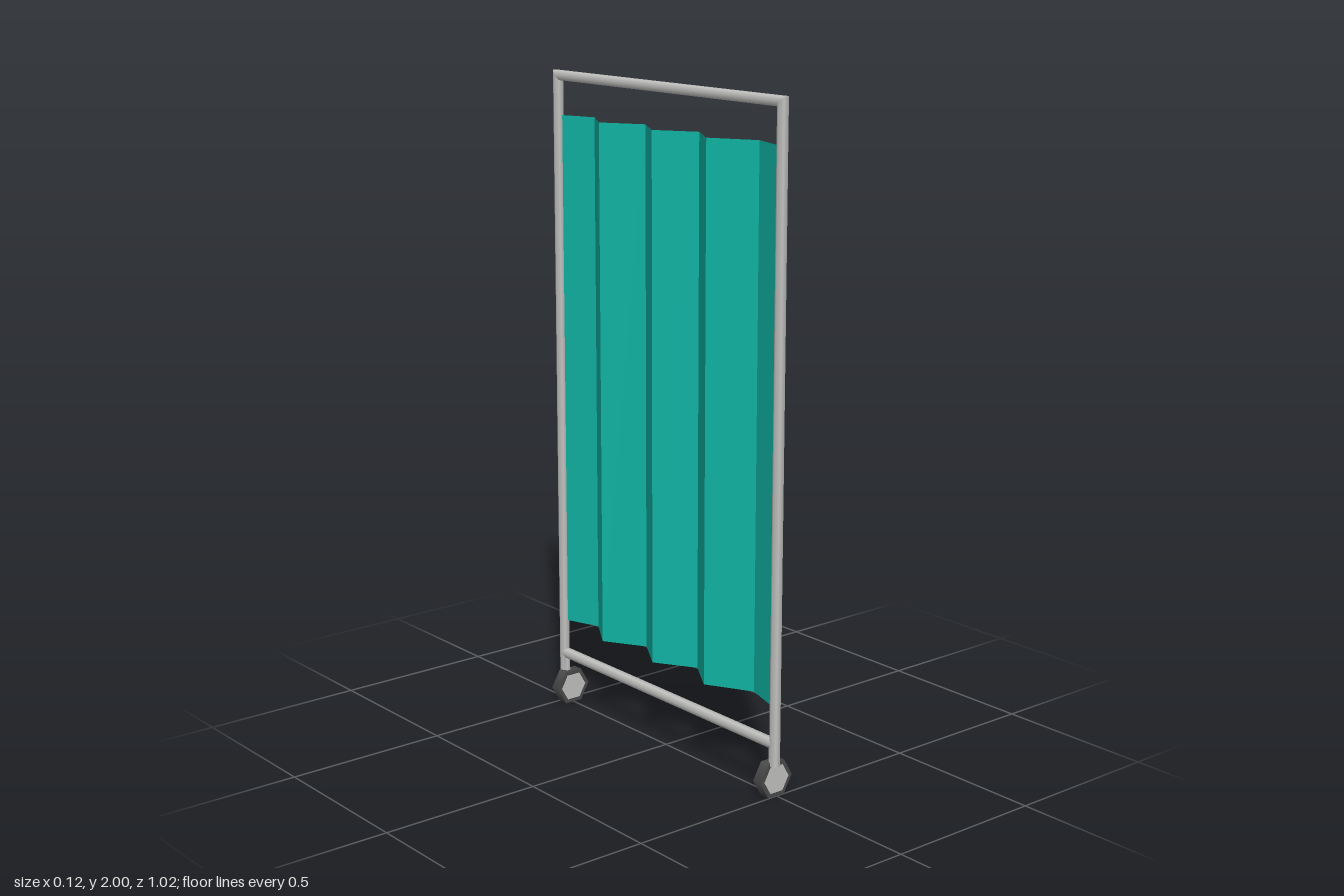
import * as THREE from 'three';

const steel = new THREE.MeshStandardMaterial({ color: 0xc2c2c0 });
steel.name = 'greySteel';
const cloth = new THREE.MeshStandardMaterial({ color: 0x0fb5a5, side: THREE.DoubleSide, flatShading: true });
cloth.name = 'tealCloth';
const rubber = new THREE.MeshStandardMaterial({ color: 0x4a4a4a });
rubber.name = 'darkRubber';

const TUBE_X = -0.008, TUBE_R = 0.0165;
const POST_Z = 0.498, TOP_Y = 1.986, FOOT_Y = 0.095;

function add(group, name, geometry, material) {
  const mesh = new THREE.Mesh(geometry, material);
  mesh.name = name;
  group.add(mesh);
  return mesh;
}

// Six-sided tube along y, with corners pointing to +x and -x
function hexTube(radius, length, open = false) {
  return new THREE.CylinderGeometry(radius, radius, length, 6, 1, open, Math.PI / 6);
}

// Upright with its top end cut as a mitre towards the top rail
function postGeometry(side) {
  const length = TOP_Y - FOOT_Y;
  const g = hexTube(TUBE_R, length);
  const p = g.attributes.position;
  for (let i = 0; i < p.count; i++) {
    if (p.getY(i) > 0) p.setY(i, p.getY(i) + side * p.getZ(i));
  }
  g.translate(TUBE_X, FOOT_Y + length / 2, side * POST_Z);
  return g;
}

// Rail along z; the mitred one meets the cut posts
function railGeometry(y, mitred) {
  const g = hexTube(TUBE_R, 2 * POST_Z);
  g.rotateX(Math.PI / 2);
  const p = g.attributes.position;
  for (let i = 0; mitred && i < p.count; i++) {
    p.setZ(i, p.getZ(i) + Math.sign(p.getZ(i)) * p.getY(i));
  }
  g.translate(TUBE_X, y, 0);
  return g;
}

// Upright sheet that follows a zigzag of [z, x] folds
function curtainGeometry(folds, bottom, top) {
  const positions = [], index = [];
  folds.forEach(([z, x], i) => {
    positions.push(x, bottom, z, x, top, z);
    if (i > 0) {
      const a = 2 * i - 2;
      index.push(a, a + 2, a + 1, a + 1, a + 2, a + 3);
    }
  });
  const g = new THREE.BufferGeometry();
  g.setAttribute('position', new THREE.Float32BufferAttribute(positions, 3));
  g.setIndex(index);
  const flat = g.toNonIndexed();
  flat.computeVertexNormals();
  return flat;
}

// Hexagonal wheel with pale hubs and a short stem
function makeCaster(side) {
  const caster = new THREE.Group();
  caster.name = side > 0 ? 'frontCaster' : 'backCaster';
  add(caster, 'tyre', hexTube(0.06, 0.033).rotateX(Math.PI / 2), rubber).position.y = 0.052;
  add(caster, 'hub', hexTube(0.046, 0.036).rotateX(Math.PI / 2), steel).position.y = 0.052;
  add(caster, 'stem', hexTube(0.011, 0.07), steel).position.set(TUBE_X, 0.125, 0.006 * side);
  caster.position.z = side * 0.4815;
  return caster;
}

export function createModel() {
  const model = new THREE.Group();
  model.name = 'foldingCurtainScreen';

  // Frame
  for (const side of [1, -1]) {
    add(model, side > 0 ? 'frontPost' : 'backPost', postGeometry(side), steel);
    model.add(makeCaster(side));
  }
  add(model, 'topRail', railGeometry(TOP_Y, true), steel);
  add(model, 'bottomRail', railGeometry(0.161, false), steel);

  // Pleated curtain
  const folds = [
    [0.492, -0.008], [0.361, 0.033], [0.224, -0.041], [0.107, 0.033], [-0.014, -0.041],
    [-0.134, 0.033], [-0.258, -0.041], [-0.375, 0.033], [-0.492, -0.008],
  ];
  add(model, 'curtain', curtainGeometry(folds, 0.27, 1.867), cloth);

  return model;
}
